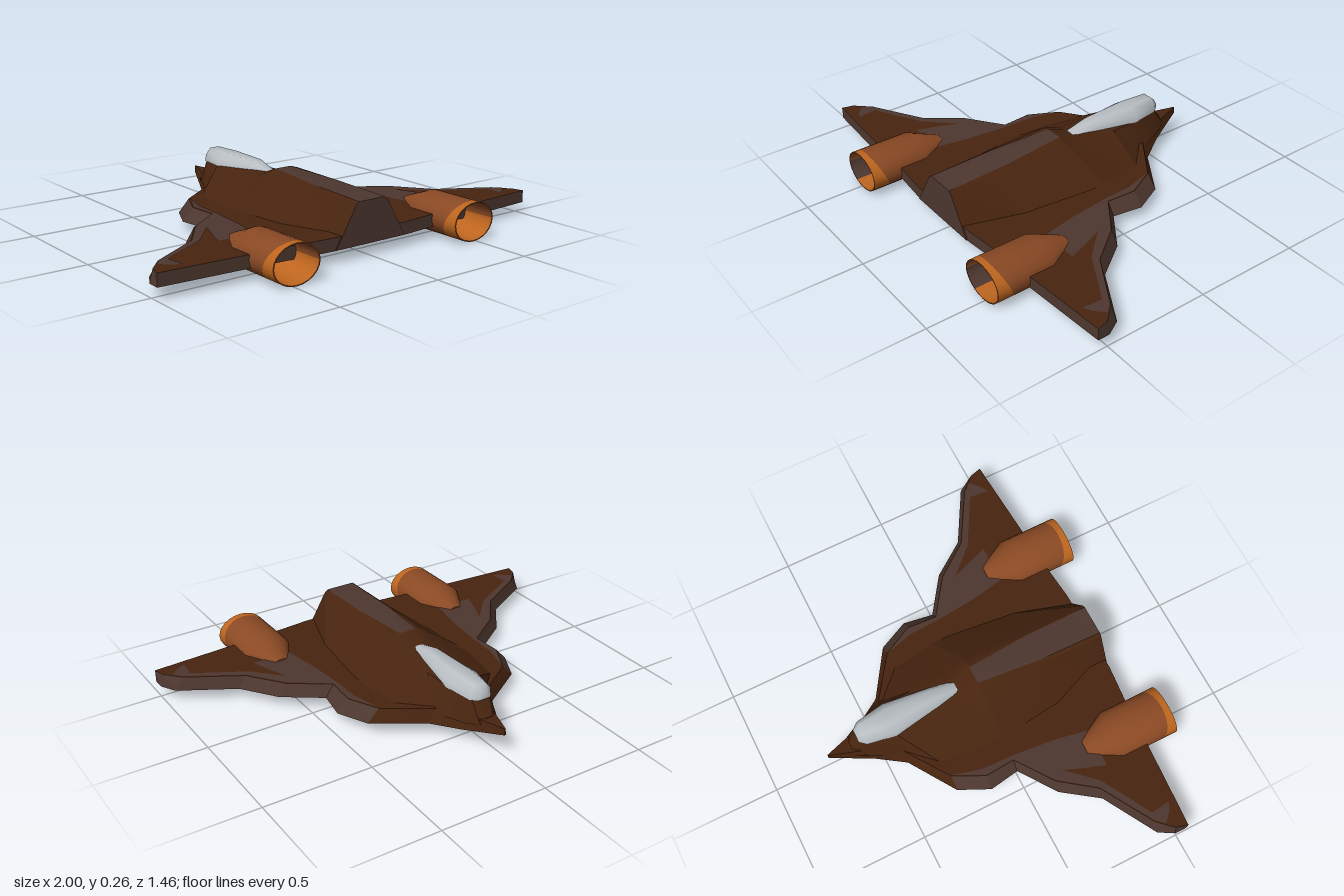
import * as THREE from 'three';
import { toCreasedNormals } from 'three/addons/utils/BufferGeometryUtils.js';

const mat = (name, color) => {
  const m = new THREE.MeshStandardMaterial({ color });
  m.name = name;
  return m;
};

// Skins closed cross-sections (counter-clockwise seen from +z, running towards +z).
// pick(i, j) gives the material index of a strip; caps are the indices of the end faces.
function loft(sections, pick, caps, crease) {
  const buckets = [[], [], []];
  const n = sections[0].length;
  const last = sections[sections.length - 1];
  for (let i = 0; i < sections.length - 1; i++) {
    for (let j = 0; j < n; j++) {
      const k = (j + 1) % n;
      const a = sections[i][j], b = sections[i][k];
      const c = sections[i + 1][k], d = sections[i + 1][j];
      buckets[pick(i, j)].push(...a, ...b, ...c, ...a, ...c, ...d);
    }
  }
  for (let j = 1; j < n - 1; j++) {
    buckets[caps[0]].push(...sections[0][0], ...sections[0][j + 1], ...sections[0][j]);
    buckets[caps[1]].push(...last[0], ...last[j], ...last[j + 1]);
  }
  const g = new THREE.BufferGeometry();
  g.setAttribute('position', new THREE.Float32BufferAttribute(buckets.flat(), 3));
  let start = 0;
  buckets.forEach((b, m) => {
    if (b.length) g.addGroup(start, b.length / 3, m);
    start += b.length / 3;
  });
  return toCreasedNormals(g, crease);
}

export function createModel() {
  const brown = mat('hull brown', 0x47240f);
  const trim = mat('trim umber', 0x4d372f);
  const rust = mat('engine rust', 0x8a4924);
  const orange = mat('nozzle orange', 0xbd651f);
  const glass = mat('canopy grey', 0xb9bfc4);

  const model = new THREE.Group();
  const add = (name, geometry, material) => {
    const mesh = new THREE.Mesh(geometry, material);
    mesh.name = name;
    model.add(mesh);
    return mesh;
  };

  // Flat winged hull: z, half width below, half width above, bottom y, top y
  const hull = [
    [-0.73, 0.004, 0.002, 0.105, 0.135],
    [-0.55, 0.085, 0.06, 0.065, 0.13],
    [-0.42, 0.17, 0.13, 0.056, 0.118],
    [-0.28, 0.385, 0.33, 0.056, 0.113],
    [-0.14, 0.452, 0.40, 0.056, 0.113],
    [0.0, 0.43, 0.39, 0.056, 0.113],
    [0.12, 0.6, 0.56, 0.056, 0.113],
    [0.28, 0.715, 0.68, 0.056, 0.113],
    [0.42, 0.96, 0.92, 0.056, 0.113],
    [0.49, 1.0, 0.985, 0.056, 0.113],
    [0.545, 1.0, 1.0, 0.056, 0.113],
    [0.585, 0.36, 0.36, 0.056, 0.113],
    [0.6, 0.2, 0.2, 0.056, 0.113],
  ].map(([z, w, t, y0, y1]) => [[-w, y0, z], [w, y0, z], [t, y1, z], [-t, y1, z]]);
  add('wingedHull', loft(hull, (i, j) => (j % 2 === 1 && i >= 3 ? 1 : 0), [0, 1], 0.3), [brown, trim]);

  // Raised spine: z, base half width, base y, shoulder half width, ridge half width, top y
  const spine = [
    [-0.62, 0.045, 0.11, 0.025, 0.015, 0.135],
    [-0.56, 0.08, 0.1, 0.045, 0.03, 0.21],
    [-0.42, 0.14, 0.1, 0.075, 0.04, 0.219],
    [-0.28, 0.27, 0.1, 0.08, 0.04, 0.223],
    [-0.09, 0.3, 0.1, 0.08, 0.04, 0.232],
    [0.0, 0.295, 0.1, 0.08, 0.042, 0.266],
    [0.3, 0.26, 0.1, 0.085, 0.066, 0.256],
    [0.605, 0.19, 0.058, 0.085, 0.07, 0.246],
  ].map(([z, b, y, s, r, t]) => [
    [-b, y, z], [b, y, z], [s, t - 0.012, z], [r, t, z], [-r, t, z], [-s, t - 0.012, z],
  ]);
  add('spine', loft(spine, (i, j) => (j === 3 && i >= 5 ? 1 : 0), [0, 1], 0.35), [brown, trim]);

  // Canopy: z, half width, base y, top y
  const canopy = [
    [-0.585, 0.03, 0.205, 0.235],
    [-0.555, 0.055, 0.2, 0.262],
    [-0.42, 0.08, 0.205, 0.262],
    [-0.2, 0.05, 0.215, 0.262],
    [-0.09, 0.03, 0.224, 0.234],
  ].map(([z, w, y, t]) => [
    [-w, y, z], [w, y, z], [w * 0.92, y + (t - y) * 0.5, z], [w * 0.45, t, z],
    [-w * 0.45, t, z], [-w * 0.92, y + (t - y) * 0.5, z],
  ]);
  add('canopy', loft(canopy, () => 0, [0, 0], 0.9), [glass]);

  // Umber panels along the leading edge and around each engine root
  const panel = [
    [0.33, -0.27], [0.365, -0.14], [0.37, 0.0], [0.39, 0.2], [0.42, 0.36], [0.6, 0.36],
    [0.57, 0.27], [0.53, 0.17], [0.65, 0.3], [0.88, 0.43], [0.87, 0.52], [0.91, 0.5],
    [0.95, 0.46], [0.915, 0.422], [0.677, 0.282], [0.555, 0.122], [0.388, 0.0],
    [0.397, -0.14],
  ];
  // Engine pod: z, radius scale, slant of the ring; runs back, then folds into the nozzle
  const pod = [
    [0.31, 0.38, 0], [0.45, 1, 0], [0.66, 1, 0.035], [0.725, 1, 0], [0.725, 0.95, 0], [0.45, 0.88, 0],
  ];
  const sides = 24;
  const rings = pod.map(([z, r, slant]) => Array.from({ length: sides }, (_, j) => {
    const a = (j / sides) * Math.PI * 2;
    return [Math.cos(a) * r * 0.116, Math.sin(a) * r * 0.088, z + slant * Math.sin(a)];
  }));
  const podColour = (i, j) => {
    if (i === 2) return 1;
    if (i === 4 && j >= 12) return j >= 16 ? 1 : 2;
    return 0;
  };
  const podGeometry = loft(rings, podColour, [0, 0], 0.6);

  for (const side of [1, -1]) {
    const label = side > 0 ? 'left' : 'right';
    const shape = new THREE.Shape(panel.map(([x, z]) => new THREE.Vector2(side * x, -z)));
    const plate = add(label + 'WingPanel', new THREE.ShapeGeometry(shape).rotateX(-Math.PI / 2), trim);
    plate.position.y = 0.116;
    const engine = add(label + 'Engine', podGeometry, [rust, orange, trim]);
    engine.position.set(side * 0.485, 0.09, 0);
  }
  return model;
}
